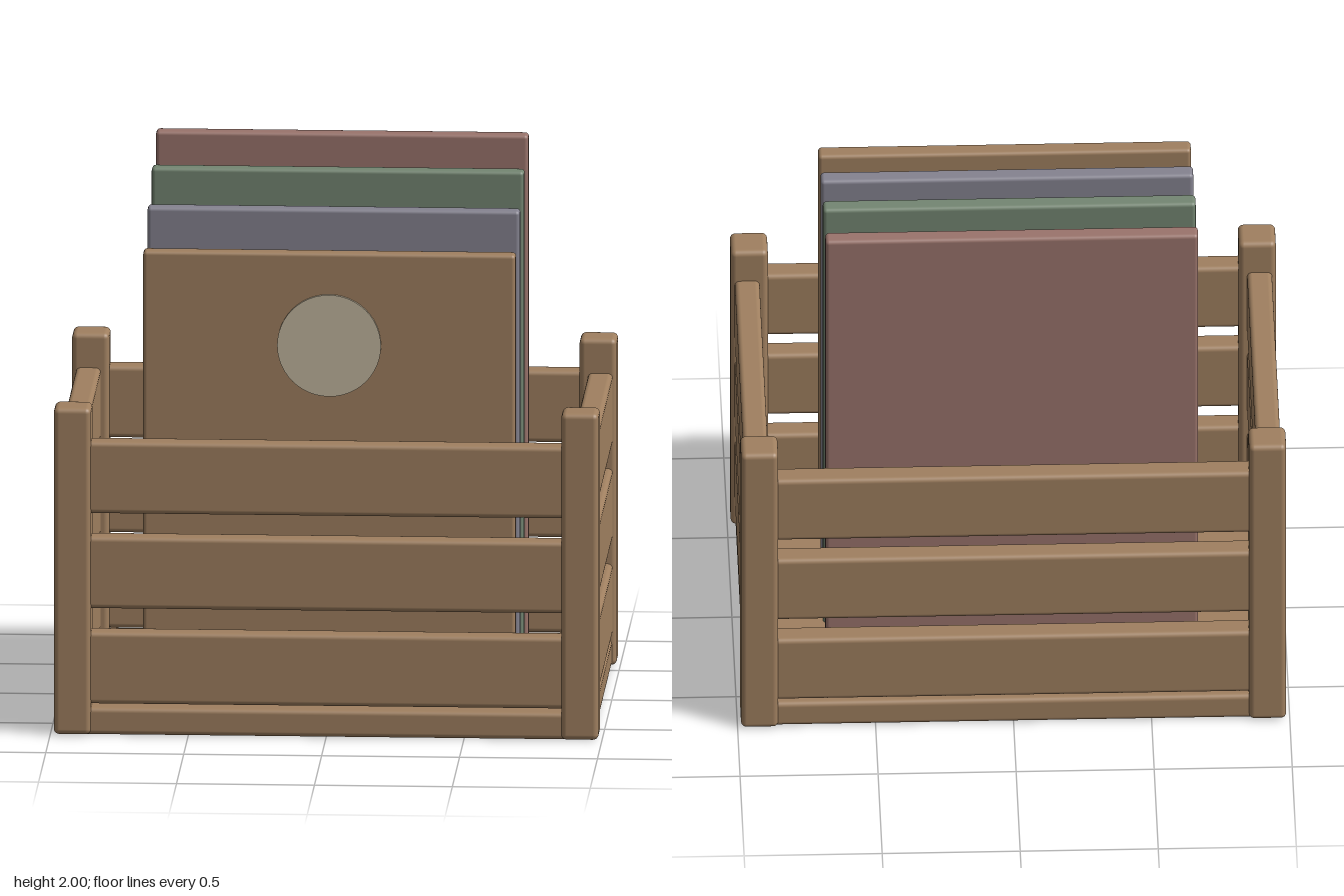
import * as THREE from 'three';
import { RoundedBoxGeometry } from 'three/addons/geometries/RoundedBoxGeometry.js';

const material = (name, color) => {
  const m = new THREE.MeshStandardMaterial({ color });
  m.name = name;
  return m;
};

export function createModel() {
  const group = new THREE.Group();
  const wood = material('wood', 0xa08060);
  const cream = material('cream', 0xc4b8a0);
  const plum = material('dustyRed', 0x9a746c);
  const sage = material('sageGreen', 0x748672);
  const slate = material('slateViolet', 0x858390);

  // Rounded box placed by its centre
  const box = (name, mat, [w, h, d], [x, y, z], r = 0.018) => {
    const mesh = new THREE.Mesh(new RoundedBoxGeometry(w, h, d, 3, r), mat);
    mesh.name = name;
    mesh.position.set(x, y, z);
    group.add(mesh);
  };

  // Crate floor
  box('floor', wood, [1.94, 0.1, 1.38], [0, 0.053, 0]);

  // Corner posts
  for (const x of [-1, 1]) for (const z of [-1, 1]) {
    box('cornerPost', wood, [0.135, 1.21, 0.135], [x * 0.92, 0.61, z * 0.638], 0.02);
  }

  // Three slats on each of the four sides
  for (const y of [0.25, 0.603, 0.955]) for (const s of [-1, 1]) {
    box(s > 0 ? 'frontSlat' : 'backSlat', wood, [1.82, 0.266, 0.09], [0, y, s * 0.645]);
    box(s > 0 ? 'leftSlat' : 'rightSlat', wood, [0.09, 0.266, 1.26], [s * 0.928, y, 0]);
  }

  // Upright sleeves, each with a round label on its front
  const sleeves = [
    [0.44, 1.75, 1.41, wood],
    [0.143, 1.848, 1.508, slate],
    [-0.153, 1.93, 1.59, sage],
    [-0.452, 2.0, 1.66, plum],
  ];
  const bottom = 0.09;
  for (const [z, top, labelY, mat] of sleeves) {
    box('sleeve', mat, [1.35, top - bottom, 0.066], [0, (top + bottom) / 2, z], 0.014);
    const label = new THREE.Mesh(new THREE.CylinderGeometry(0.188, 0.188, 0.016, 48), cream);
    label.name = 'roundLabel';
    label.rotation.x = Math.PI / 2;
    label.position.set(0, labelY, z + 0.039);
    group.add(label);
  }
  return group;
}
